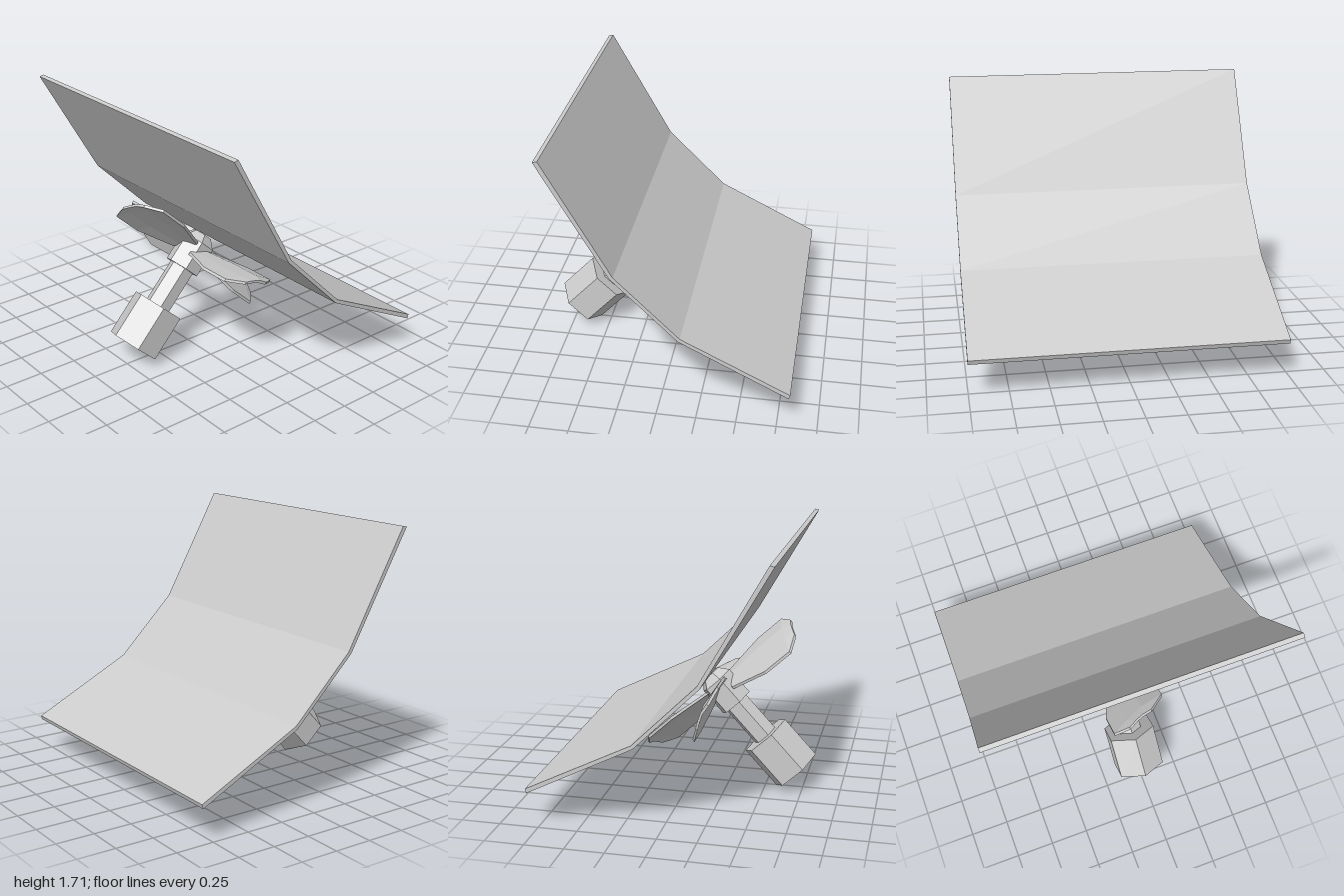
import * as THREE from 'three';

const material = new THREE.MeshStandardMaterial({ color: 0xcccccc, flatShading: true });

function part(name, geometry) {
  const mesh = new THREE.Mesh(geometry, material);
  mesh.name = name;
  return mesh;
}

// Six-sided prism along y, with corners on the x axis
function hexPrism(name, bottomRadius, topRadius, y0, y1) {
  const g = new THREE.CylinderGeometry(topRadius, bottomRadius, y1 - y0, 6);
  g.rotateY(Math.PI / 6).translate(0, (y0 + y1) / 2, 0);
  return part(name, g);
}

// Cambered, pitched blade pointing along +z, lofted from scaled sections
function bladeGeometry() {
  const section = [[-0.175, -0.095], [-0.075, -0.03], [0.035, 0.03], [0.18, 0.065]];
  const stations = [[0.08, 0.5], [0.16, 0.65], [0.35, 1], [0.56, 1], [0.63, 0.45]];
  const half = 0.009;
  const n = section.length, ring = 2 * n;
  const positions = [], index = [];
  for (const [r, k] of stations) {
    for (let i = 0; i < ring; i++) {
      const upper = i < n;
      const [x, y] = section[upper ? i : ring - 1 - i];
      positions.push(x * k, y * k + (upper ? half : -half), r);
    }
  }
  for (let j = 0; j < stations.length - 1; j++) {
    for (let i = 0; i < ring; i++) {
      const a = j * ring + i, c = j * ring + (i + 1) % ring;
      index.push(a, a + ring, c, c, a + ring, c + ring);
    }
  }
  // End caps
  const tip = (stations.length - 1) * ring;
  for (let i = 0; i < n - 1; i++) {
    const a = i, b = i + 1, c = ring - 2 - i, d = ring - 1 - i;
    index.push(a, b, c, a, c, d);
    index.push(tip + a, tip + c, tip + b, tip + a, tip + d, tip + c);
  }
  const g = new THREE.BufferGeometry();
  g.setAttribute('position', new THREE.Float32BufferAttribute(positions, 3));
  g.setIndex(index);
  g.computeVertexNormals();
  return g;
}

export function createModel() {
  const model = new THREE.Group();
  model.name = 'fanWithCurvedPanel';

  // Bent sheet extruded across the full depth
  const profile = new THREE.Shape([
    [-0.658, 1.705], [-0.687, 1.698], [-0.267, 0.965], [0.14, 0.563], [0.818, 0.22],
    [0.826, 0.248], [0.15, 0.585], [-0.247, 0.978],
  ].map(([x, y]) => new THREE.Vector2(x, y)));
  const sheet = new THREE.ExtrudeGeometry(profile, { depth: 2, bevelEnabled: false });
  sheet.translate(0, 0, -1);
  model.add(part('curvedPanel', sheet));

  // Tilted fan, built upright along its own axis
  const fan = new THREE.Group();
  fan.name = 'fan';
  fan.position.set(-0.7, 0.12, 0);
  fan.rotation.z = -THREE.MathUtils.degToRad(42.8);
  fan.add(
    hexPrism('motorHousing', 0.177, 0.177, 0, 0.308),
    hexPrism('shaft', 0.087, 0.087, 0.308, 0.6),
    hexPrism('hub', 0.12, 0.118, 0.6, 0.798),
    hexPrism('hubCap', 0.118, 0.067, 0.798, 0.856),
  );

  // Four blades around the hub
  const geometry = bladeGeometry();
  for (let i = 0; i < 4; i++) {
    const blade = part('blade', geometry);
    blade.position.y = 0.746;
    blade.rotation.y = i * Math.PI / 2;
    fan.add(blade);
  }
  model.add(fan);
  return model;
}
